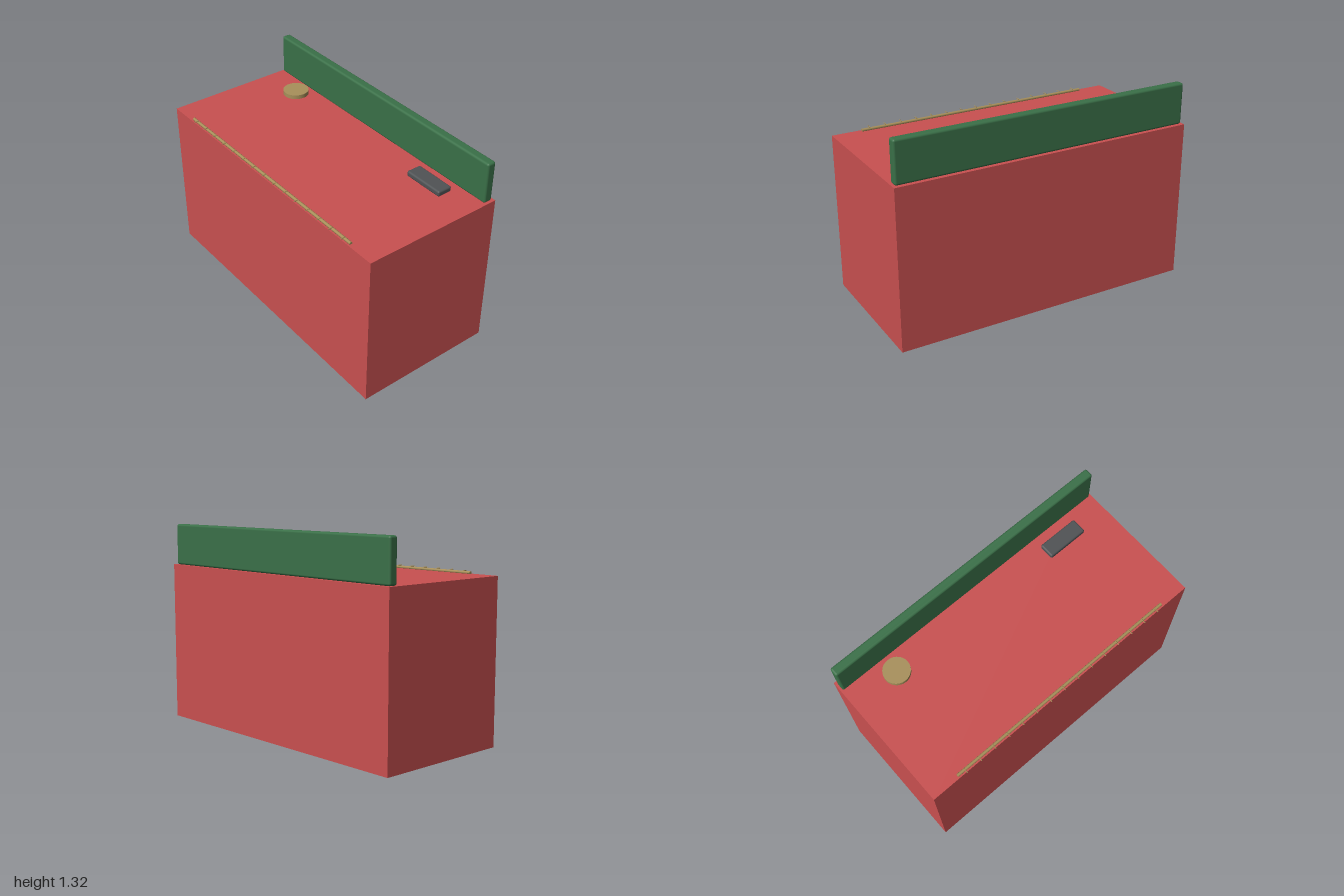
import * as THREE from 'three';
import { RoundedBoxGeometry } from 'three/addons/geometries/RoundedBoxGeometry.js';

const paint = (color) => new THREE.MeshStandardMaterial({ color });

export function createModel() {
  const model = new THREE.Group();
  const red = paint(0xc95050);
  const green = paint(0x3a7048);
  const brass = paint(0xa8905a);
  const dark = paint(0x505355);

  const add = (name, geometry, material, x, y, z) => {
    const mesh = new THREE.Mesh(geometry, material);
    mesh.name = name;
    mesh.position.set(x, y, z);
    model.add(mesh);
    return mesh;
  };

  // Main cabinet block
  add('cabinet', new THREE.BoxGeometry(2, 1.044, 0.93), red, 0, 0.523, -0.005);

  // Upright board along the back edge
  add('backBoard', new RoundedBoxGeometry(1.974, 0.27, 0.06, 3, 0.014), green, 0, 1.18, -0.423);

  // Round dish and small block on the top
  add('dish', new THREE.CylinderGeometry(0.085, 0.085, 0.028, 28), brass, -0.675, 1.069, -0.275);
  add('smallBlock', new RoundedBoxGeometry(0.277, 0.038, 0.102, 2, 0.012), dark, 0.648, 1.069, -0.274);

  // Rail along the front edge with a row of pegs
  const rail = add('rail', new THREE.CylinderGeometry(0.01, 0.01, 1.62, 10), brass, 0, 1.051, 0.441);
  rail.rotation.z = Math.PI / 2;
  const pegGeometry = new THREE.CylinderGeometry(0.003, 0.003, 0.03, 6);
  for (let i = 0; i < 15; i++) {
    const peg = add('peg', pegGeometry, brass, (i - 7) * 0.108, 1.062, 0.455);
    peg.rotation.x = Math.PI / 2;
  }

  // Feet set almost flush into the underside
  const footGeometry = new THREE.CylinderGeometry(0.04, 0.04, 0.04, 20);
  for (const x of [-0.84, 0.84]) {
    for (const z of [-0.33, 0.33]) add('foot', footGeometry, dark, x, 0.02, z);
  }

  return model;
}
